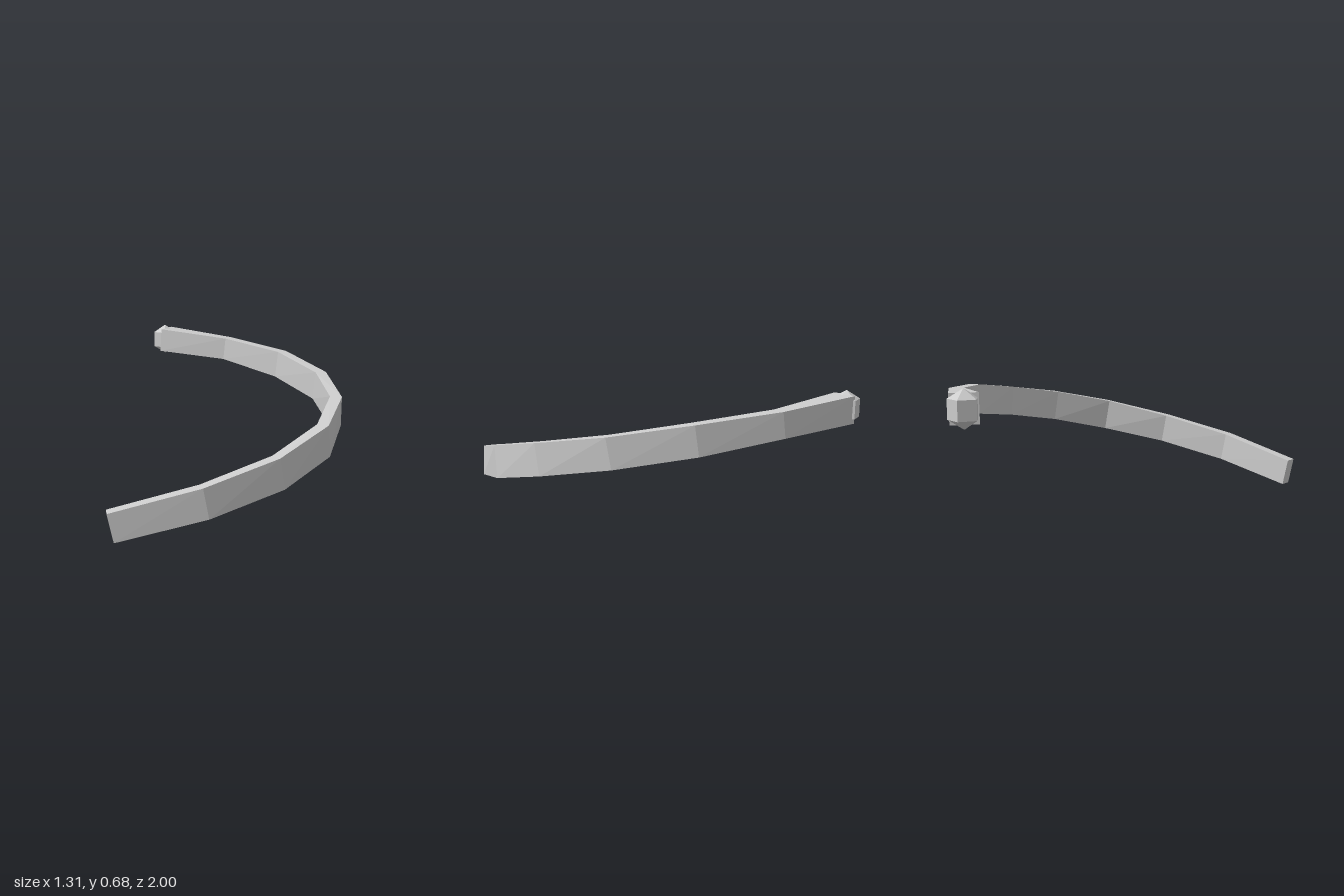
import * as THREE from 'three';

const grey = new THREE.MeshStandardMaterial({ color: 0xcccccc, flatShading: true });
grey.name = 'plain grey';

// Stations along the sweep: top outer x,z | top inner x,z | top y, bottom y | shift of the bottom edge x,z
const stations = [
  [-0.165, 1.0, -0.19, 0.947, 0.135, 0, 0.025, -0.013],
  [0.212, 0.82, 0.18, 0.77, 0.23, 0.085, 0.023, -0.015],
  [0.49, 0.556, 0.445, 0.52, 0.315, 0.165, 0.02, -0.018],
  [0.648, 0.23, 0.59, 0.22, 0.4, 0.24, 0.006, -0.025],
  [0.654, -0.1, 0.594, -0.095, 0.47, 0.315, -0.005, -0.025],
  [0.51, -0.43, 0.46, -0.398, 0.53, 0.38, -0.017, -0.02],
  [0.225, -0.705, 0.19, -0.655, 0.587, 0.44, -0.018, -0.012],
  [-0.16, -0.893, -0.175, -0.826, 0.622, 0.496, -0.015, -0.006],
  [-0.58, -0.99, -0.6, -0.865, 0.655, 0.52, -0.008, 0],
];

// Rectangular section swept through the stations, capped at both ends
function createBand() {
  const pos = [], index = [];
  const quad = (a, b, c, d) => index.push(a, b, c, a, c, d);
  for (const [ox, oz, ix, iz, top, bottom, dx, dz] of stations) {
    pos.push(ox, top, oz, ix, top, iz, ix + dx, bottom, iz + dz, ox + dx, bottom, oz + dz);
  }
  const last = (stations.length - 1) * 4;
  for (let s = 0; s < last; s += 4) {
    for (let k = 0; k < 4; k++) {
      const n = (k + 1) % 4;
      quad(s + k, s + 4 + k, s + 4 + n, s + n);
    }
  }
  quad(0, 1, 2, 3);
  quad(last + 3, last + 2, last + 1, last);
  const indexed = new THREE.BufferGeometry();
  indexed.setAttribute('position', new THREE.Float32BufferAttribute(pos, 3));
  indexed.setIndex(index);
  const geometry = indexed.toNonIndexed();
  geometry.computeVertexNormals();
  return geometry;
}

// Five-sided knob, pointed above and below, with one flat side facing -x
function createKnob() {
  const profile = [[0, 0.5], [0.07, 0.543], [0.07, 0.632], [0, 0.675]]
    .map(([r, y]) => new THREE.Vector2(r, y));
  const geometry = new THREE.LatheGeometry(profile, 5, Math.PI / 2).toNonIndexed();
  geometry.computeVertexNormals();
  return geometry;
}

export function createModel() {
  const model = new THREE.Group();
  model.name = 'curvedBand';

  const band = new THREE.Mesh(createBand(), grey);
  band.name = 'band';

  const knob = new THREE.Mesh(createKnob(), grey);
  knob.name = 'endKnob';
  knob.position.set(-0.6, 0, -0.93);

  model.add(band, knob);
  return model;
}
